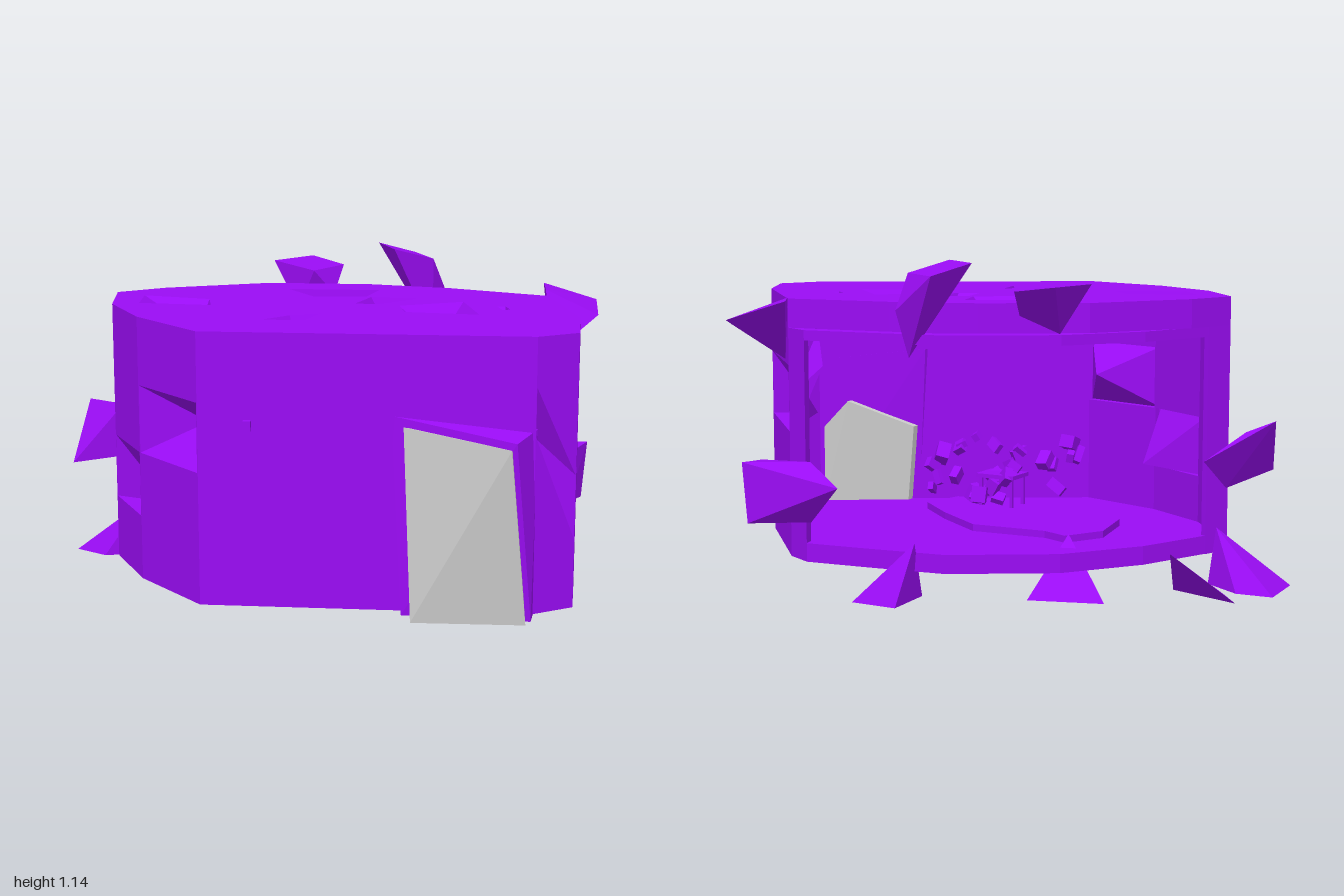
import * as THREE from 'three';
import { ConvexGeometry } from 'three/addons/geometries/ConvexGeometry.js';

const purple = new THREE.MeshStandardMaterial({ color: 0x9a0cf4, flatShading: true, side: THREE.DoubleSide });
const grey = new THREE.MeshStandardMaterial({ color: 0xcccccc, flatShading: true, side: THREE.DoubleSide });

// Outline as [x, z]: walled side from the left end round the front to the back
const walled = [[-0.75, 0.34], [-0.58, 0.55], [-0.33, 0.7], [0.01, 0.8], [0.93, 0.25], [1, 0.11], [0.87, -0.13], [0.54, -0.49]];
// Open side, from the back to the left end
const roofEdge = [[0.16, -0.44], [-0.13, -0.35], [-0.45, -0.16], [-0.68, 0.16]];
const rimEdge = [[0.44, -0.54], [0.2, -0.51], [-0.07, -0.47], [-0.4, -0.27], [-0.59, -0.02]];

export function createModel() {
  const model = new THREE.Group();

  const add = (name, geometry, material = purple, parent = model) => {
    const mesh = new THREE.Mesh(geometry, material);
    mesh.name = name;
    parent.add(mesh);
    return mesh;
  };
  const hull = (name, points, material) =>
    add(name, new ConvexGeometry(points.map((p) => new THREE.Vector3(...p))), material);
  const vectors = (points) => points.map((p) => new THREE.Vector2(...p));

  // Flat panel with its face at local z = 0; each dent is a hole with a pyramid pit
  function panel(name, outline, thickness, dents, matrix) {
    const shape = new THREE.Shape(vectors(outline));
    const group = new THREE.Group();
    group.name = name;
    for (const { corners, apex } of dents) {
      shape.holes.push(new THREE.Path(vectors(corners)));
      const pit = [];
      corners.forEach((c, i) => {
        const next = corners[(i + 1) % corners.length];
        pit.push(...c, 0, ...next, 0, ...apex);
      });
      const geometry = new THREE.BufferGeometry();
      geometry.setAttribute('position', new THREE.Float32BufferAttribute(pit, 3));
      geometry.computeVertexNormals();
      add('dent', geometry, purple, group);
    }
    const slab = new THREE.ExtrudeGeometry(shape, { depth: thickness, bevelEnabled: false });
    add('surface', slab.translate(0, 0, -thickness), purple, group);
    group.applyMatrix4(matrix);
    model.add(group);
  }

  // Horizontal slab whose upper face is at height y
  function slab(name, outline, y, thickness, dents = []) {
    const flip = ([x, z]) => [x, -z];
    const m = new THREE.Matrix4().makeRotationX(-Math.PI / 2).setPosition(0, y, 0);
    const flipped = dents.map(({ corners, apex }) => ({ corners: corners.map(flip), apex: [apex[0], -apex[1], -apex[2]] }));
    panel(name, outline.map(flip), thickness, flipped, m);
  }

  // Roof with broken pits, given as [x, z] corners and [x, z, depth] apex
  slab('roof', [...walled, ...roofEdge], 1, 0.06, [
    { corners: [[-0.3, -0.08], [-0.02, -0.25], [0.03, -0.1], [-0.12, 0.01]], apex: [-0.11, -0.17, 0.12] },
    { corners: [[0.05, -0.1], [0.2, -0.16], [0.16, 0.02], [0.09, 0.05]], apex: [0.14, -0.09, 0.12] },
    { corners: [[0.24, 0], [0.37, -0.2], [0.56, 0], [0.33, 0.1]], apex: [0.39, 0.0, 0.12] },
    { corners: [[-0.62, 0.34], [-0.38, 0.27], [-0.29, 0.37], [-0.52, 0.48]], apex: [-0.36, 0.36, 0.1] },
    { corners: [[0.04, 0.5], [0.06, 0.38], [0.12, 0.28], [0.16, 0.43]], apex: [0.11, 0.41, 0.1] },
    { corners: [[0.52, -0.18], [0.54, -0.2], [0.59, -0.15], [0.57, -0.13]], apex: [0.56, -0.16, 0.05] },
  ]);
  slab('floor', [...walled, ...rimEdge], 0.15, 0.05);

  // Walls; dents are [fraction along the wall, height], apex adds depth
  const wallDents = {
    1: { corners: [[0.01, 0.32], [0.99, 0.32], [0.99, 0.54], [0.01, 0.54]], apex: [0.8, 0.34, 0.12] },
    2: { corners: [[0.01, 0.54], [0.99, 0.54], [0.99, 0.77], [0.01, 0.77]], apex: [0.55, 0.66, 0.15] },
    4: { corners: [[0.01, 0.68], [0.01, 0.84], [0.99, 0.54], [0.99, 0.33]], apex: [0.15, 0.68, 0.08] },
    6: { corners: [[0.01, 0.54], [0.99, 0.54], [0.99, 0.77], [0.01, 0.77]], apex: [0.38, 0.56, 0.14] },
  };
  for (let i = 0; i < walled.length - 1; i++) {
    const a = new THREE.Vector3(walled[i][0], 0, walled[i][1]);
    const along = new THREE.Vector3(walled[i + 1][0], 0, walled[i + 1][1]).sub(a);
    const length = along.length();
    along.normalize();
    const up = new THREE.Vector3(0, 1, 0);
    const m = new THREE.Matrix4().makeBasis(along, up, along.clone().cross(up)).setPosition(a);
    const d = wallDents[i];
    const dents = d ? [{
      corners: d.corners.map(([t, y]) => [t * length, y]),
      apex: [d.apex[0] * length, d.apex[1], -d.apex[2]],
    }] : [];
    panel('wall', [[0, 0.15], [length, 0.15], [length, 0.94], [0, 0.94]], 0.03, dents, m);
  }

  // Frame round the open side: lintel bands, sill and end posts
  const start = walled[7], end = walled[0];
  const band = (edge, k) => {
    const outer = [start, ...edge, end];
    return [...outer, ...outer.map(([x, z]) => [x + 0.5 * k, z + 0.8 * k]).reverse()];
  };
  slab('upperLintel', band(roofEdge, 0.04), 0.94, 0.04);
  slab('lintel', band(rimEdge, 0.07), 0.9, 0.035);
  slab('sill', band(rimEdge, 0.05), 0.165, 0.015);
  const post = (corners) => hull('post', corners.flatMap(([x, z]) => [[x, 0.1, z], [x, 0.9, z]]));
  post([[0.54, -0.49], [0.44, -0.54], [0.45, -0.5], [0.52, -0.45]]);
  post([[-0.75, 0.34], [-0.71, 0.24], [-0.69, 0.25], [-0.71, 0.34]]);

  // Leaning doorway with a plain door, and its inner face
  hull('doorFrame', [
    [0.54, 0.74, 0.48], [0.93, 0.68, 0.36], [0.95, 0.09, 0.29], [0.58, 0.09, 0.48],
    [0.55, 0.74, 0.43], [0.92, 0.7, 0.22], [0.92, 0.1, 0.22], [0.58, 0.1, 0.43],
  ]);
  hull('door', [
    [0.59, 0.71, 0.485], [0.92, 0.66, 0.375], [0.94, 0.08, 0.305], [0.63, 0.08, 0.5],
    [0.6, 0.7, 0.44], [0.9, 0.65, 0.33], [0.91, 0.08, 0.26], [0.62, 0.08, 0.46],
  ], grey);
  hull('doorInside', [
    [0.6, 0.15, 0.38], [0.88, 0.15, 0.215], [0.88, 0.44, 0.215], [0.8, 0.54, 0.26], [0.58, 0.44, 0.39],
    [0.6, 0.15, 0.41], [0.88, 0.15, 0.245], [0.88, 0.44, 0.245], [0.8, 0.54, 0.29], [0.58, 0.44, 0.42],
  ], grey);

  // Small knob on the front wall
  const knob = add('wallKnob', new THREE.BoxGeometry(0.025, 0.035, 0.03));
  knob.position.set(0.15, 0.7, 0.72);
  knob.rotation.y = 0.55;

  // Raised patch on the floor
  slab('floorPatch', [[-0.38, 0.1], [-0.34, 0.32], [-0.1, 0.42], [0.1, 0.52], [0.4, 0.42], [0.44, 0.26], [0.28, 0.12], [0.08, -0.02], [-0.2, 0], [-0.3, -0.04]], 0.175, 0.03);

  // Table among scattered fragments
  const clutter = new THREE.Group();
  clutter.name = 'furniture';
  clutter.position.set(0.17, 0.17, 0.36);
  model.add(clutter);
  const block = (name, w, h, d, x, y, z) => {
    const mesh = add(name, new THREE.BoxGeometry(w, h, d), purple, clutter);
    mesh.position.set(x, y, z);
    return mesh;
  };
  block('tableTop', 0.16, 0.015, 0.12, 0, 0.12, 0);
  for (const x of [-0.065, 0.065]) for (const z of [-0.045, 0.045]) block('tableLeg', 0.012, 0.12, 0.012, x, 0.06, z);
  let seed = 7;
  const random = () => (seed = (seed * 16807) % 2147483647) / 2147483647;
  for (let i = 0; i < 30; i++) {
    const t = random() - 0.5;
    const piece = block('fragment', 0.02 + 0.05 * random(), 0.015 + 0.05 * random(), 0.02 + 0.03 * random(),
      0.5 * t, 0.02 + 0.24 * random(), -0.28 * t + 0.14 * (random() - 0.5));
    piece.rotation.set(random() * 2, random() * 3, random() * 2);
  }

  // Loose shards lying on the ground and floating beside the open side
  const shards = [
    [[-0.94, 0.58, 0.3], [-0.87, 0.55, 0.2], [-0.82, 0.48, -0.05], [-0.82, 0.36, 0.15], [-0.87, 0.38, 0.47]],
    [[-1, 0, 0.14], [-0.99, 0, 0.34], [-0.85, 0, 0.34], [-0.73, 0, 0.22], [-0.87, 0, 0.13], [-0.75, 0.2, 0.24]],
    [[-0.82, 0.22, -0.32], [-0.92, 0, 0], [-0.66, 0, 0.08], [-0.84, 0, 0.1]],
    [[-0.54, 0, -0.22], [-0.29, 0, -0.3], [-0.28, 0, -0.22], [-0.42, 0, -0.08], [-0.33, 0.19, -0.07]],
    [[0.04, 0, -0.61], [0.21, 0, -0.61], [0.21, 0, -0.5], [0.05, 0, -0.42], [0.03, 0.2, -0.5]],
    [[-0.47, 1.07, -0.45], [-0.31, 1.05, -0.43], [-0.5, 1.07, -0.25], [-0.3, 1.05, -0.23], [-0.26, 0.96, -0.3], [-0.38, 0.9, -0.24]],
    [[-0.17, 1.14, -0.46], [-0.01, 1.14, -0.33], [0.08, 1.1, -0.45], [-0.08, 1.1, -0.57], [0.08, 0.98, -0.53], [-0.03, 1.0, -0.42], [0.06, 0.82, -0.48]],
    [[0.4, 1.01, -0.7], [0.56, 0.95, -0.81], [0.65, 0.92, -0.66], [0.49, 1.01, -0.56], [0.56, 0.79, -0.48]],
    [[0.42, 0.45, -0.54], [0.42, 0.24, -0.54], [0.62, 0.45, -0.66], [0.6, 0.24, -0.66], [0.27, 0.38, -0.6], [0.63, 0.44, -0.53], [0.62, 0.25, -0.53]],
  ];
  shards.forEach((points) => hull('shard', points));

  return model;
}
